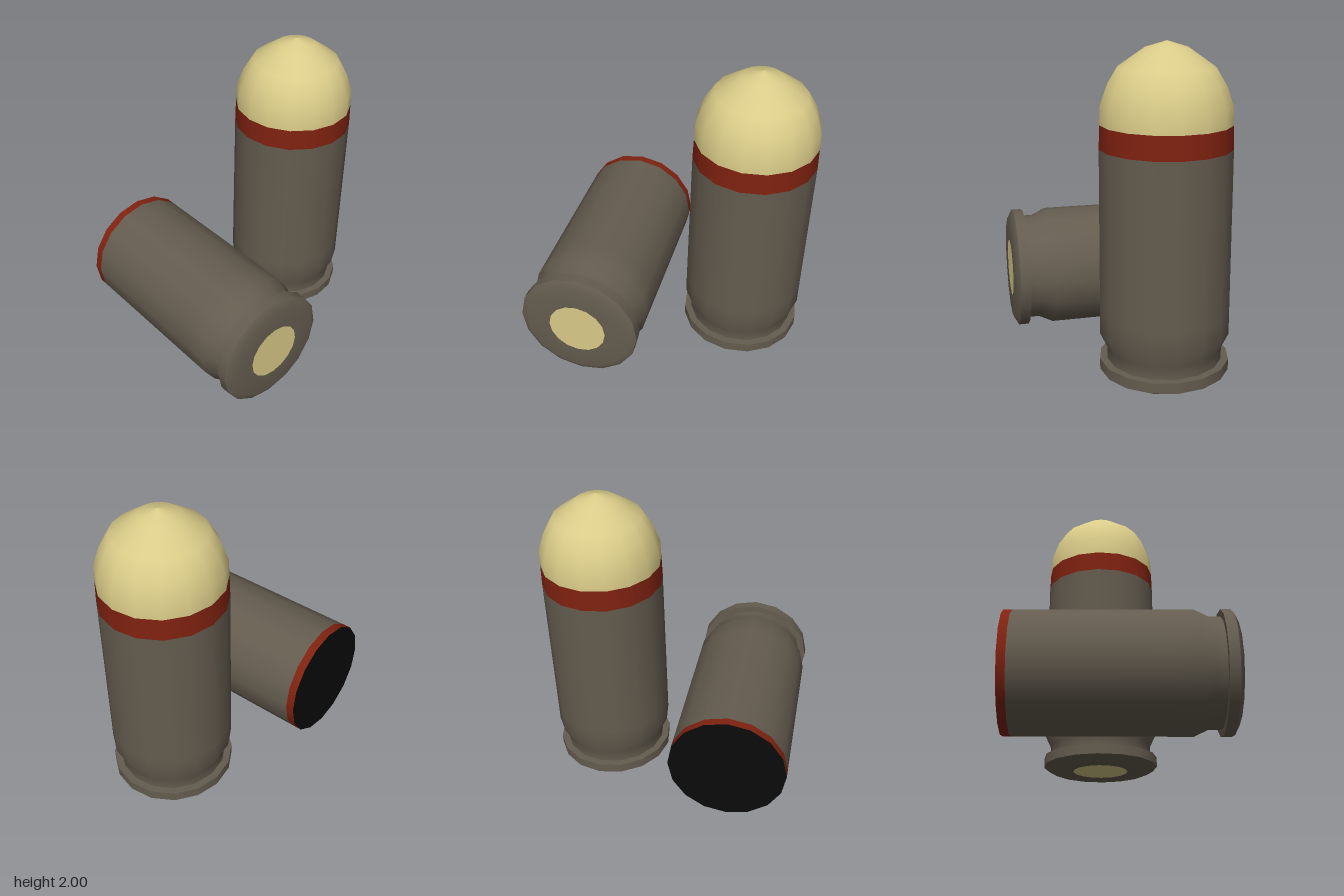
import * as THREE from 'three';

const SIDES = 16;

function material(name, color) {
  const m = new THREE.MeshStandardMaterial({ color });
  m.name = name;
  return m;
}

export function createModel() {
  const steel = material('grey brown casing', 0x645c4f);
  const brass = material('pale brass', 0xd9cb88);
  const red = material('red band', 0x802210);
  const black = material('black bore', 0x0a0a0a);

  // A turned part; profile points [radius, height] run from bottom to top
  function turned(group, name, mat, profile) {
    const points = profile.map(([r, y]) => new THREE.Vector2(r, y));
    const mesh = new THREE.Mesh(new THREE.LatheGeometry(points, SIDES), mat);
    mesh.name = name;
    group.add(mesh);
  }

  // Head, rim, extractor groove and wall, shared by both cartridges
  function casing(name, top) {
    const g = new THREE.Group();
    g.name = name;
    turned(g, 'primer', brass, [[0, 0], [0.19, 0]]);
    turned(g, 'headFace', steel, [[0.19, 0], [0.34, 0], [0.395, 0.03]]);
    turned(g, 'rim', steel, [[0.395, 0.03], [0.395, 0.095]]);
    turned(g, 'rimTop', steel, [[0.395, 0.095], [0.35, 0.095]]);
    turned(g, 'grooveAndWall', steel,
      [[0.35, 0.095], [0.35, 0.17], [0.393, 0.26], [0.393, 0.4], [0.392, top]]);
    return g;
  }

  const model = new THREE.Group();
  model.name = 'cartridges';

  // Standing loaded cartridge
  const standing = casing('standingCartridge', 1.39);
  turned(standing, 'redBand', red, [[0.392, 1.39], [0.39, 1.46], [0.388, 1.53]]);
  turned(standing, 'bullet', brass, [
    [0.388, 1.53], [0.384, 1.64], [0.345, 1.75], [0.285, 1.85], [0.125, 1.962], [0, 2],
  ]);
  standing.position.set(0.465, 0, -0.565);
  model.add(standing);

  // Empty casing lying on its side, mouth towards the back right
  const lying = casing('lyingCasing', 1.385);
  turned(lying, 'redMouthBand', red, [[0.392, 1.385], [0.392, 1.44]]);
  turned(lying, 'bore', black, [[0.392, 1.44], [0, 1.44]]);
  const axis = new THREE.Vector3(-0.74, 0, -0.673).normalize();
  const up = new THREE.Vector3(0, 1, 0);
  const side = new THREE.Vector3().crossVectors(up, axis);
  lying.quaternion.setFromRotationMatrix(new THREE.Matrix4().makeBasis(up, axis, side));
  lying.position.set(0.465, 0.4, 0.68);
  model.add(lying);

  return model;
}
